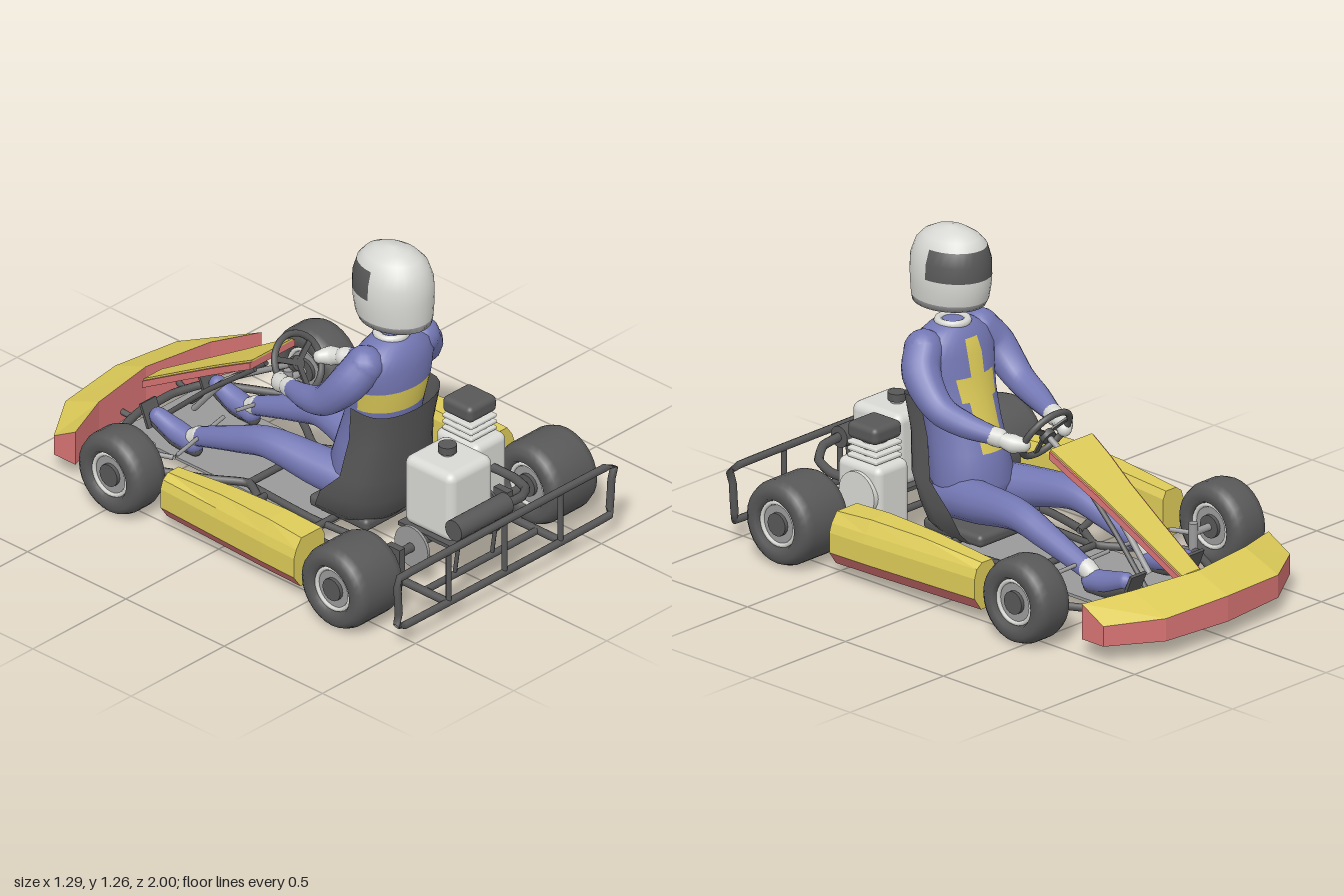
import * as THREE from 'three';
import { RoundedBoxGeometry } from 'three/addons/geometries/RoundedBoxGeometry.js';

const mat = (name, color, side = THREE.FrontSide) => {
  const m = new THREE.MeshStandardMaterial({ color, side });
  m.name = name;
  return m;
};
const V = (p) => new THREE.Vector3(p[0], p[1], p[2]);

export function createModel() {
  const root = new THREE.Group();
  root.name = 'goKart';
  const dark = mat('darkGrey', 0x585858, THREE.DoubleSide);
  const grey = mat('midGrey', 0x9a9a9a);
  const white = mat('lightGrey', 0xd8d8d4);
  const yellow = mat('yellow', 0xdcca58);
  const red = mat('red', 0xd87474);
  const blue = mat('blue', 0x7478b4);

  const add = (name, geo, m, pos = [0, 0, 0], rot = [0, 0, 0], parent = root) => {
    const mesh = new THREE.Mesh(geo, m);
    mesh.name = name;
    mesh.position.set(...pos);
    mesh.rotation.set(...rot);
    parent.add(mesh);
    return mesh;
  };
  const box = (name, size, pos, m, r = 0, rot) =>
    add(name, r ? new RoundedBoxGeometry(...size, 3, r) : new THREE.BoxGeometry(...size), m, pos, rot);
  const rod = (name, r, len, pos, m, rot, sides = 20) =>
    add(name, new THREE.CylinderGeometry(r, r, len, sides), m, pos, rot);
  const acrossX = [0, 0, Math.PI / 2];

  // Bent pipe through a few points
  const pipe = (name, pts, r = 0.014, m = dark, closed = false) => {
    const curve = new THREE.CatmullRomCurve3(pts.map(V), closed, 'catmullrom', 0.25);
    return add(name, new THREE.TubeGeometry(curve, pts.length * 6, r, 8, closed), m);
  };

  // Skin over cross-sections; pick() gives the material index of each cell from its centre
  const loft = (name, rings, mats, pick = () => 0, { flat = false, closed = true, cap = 0 } = {}) => {
    const n = rings[0].length;
    const lists = mats.map(() => []);
    for (let j = 0; j < rings.length - 1; j++) {
      for (let i = 0; i < (closed ? n : n - 1); i++) {
        const k = (i + 1) % n;
        const c = V(rings[j][i]).add(V(rings[j][k])).add(V(rings[j + 1][k])).add(V(rings[j + 1][i])).multiplyScalar(0.25);
        const [a, b, d, e] = [j * n + i, j * n + k, (j + 1) * n + k, (j + 1) * n + i];
        lists[pick(c)].push(a, b, d, a, d, e);
      }
    }
    if (closed) {
      const top = (rings.length - 1) * n;
      for (let i = 1; i < n - 1; i++) lists[cap].push(0, i + 1, i, top, top + i, top + i + 1);
    }
    let g = new THREE.BufferGeometry();
    g.setAttribute('position', new THREE.Float32BufferAttribute(rings.flat(2), 3));
    g.setIndex(lists.flat());
    let start = 0;
    lists.forEach((l, i) => { g.addGroup(start, l.length, i); start += l.length; });
    if (flat) g = g.toNonIndexed();
    g.computeVertexNormals();
    return add(name, g, mats);
  };
  // Oval cross-section at height y
  const oval = ([y, w, zf, zb], n = 32) => Array.from({ length: n }, (_, i) => {
    const a = (i / n) * Math.PI * 2;
    return [w * Math.sin(a), y, (zf + zb) / 2 + ((zb - zf) / 2) * Math.cos(a)];
  });
  // Tapered limb: points are x, y, z, radius
  const limb = (name, pts, m) => {
    const curve = new THREE.CatmullRomCurve3(pts.map(V));
    const seg = 20, sides = 14;
    const g = new THREE.TubeGeometry(curve, seg, 1, sides);
    const pos = g.attributes.position, v = new THREE.Vector3();
    for (let j = 0; j <= seg; j++) {
      const c = curve.getPointAt(j / seg);
      const t = curve.getUtoTmapping(j / seg) * (pts.length - 1);
      const k = Math.min(Math.floor(t), pts.length - 2);
      const r = THREE.MathUtils.lerp(pts[k][3], pts[k + 1][3], t - k);
      for (let i = 0; i <= sides; i++) {
        const q = j * (sides + 1) + i;
        v.fromBufferAttribute(pos, q).sub(c).multiplyScalar(r).add(c);
        pos.setXYZ(q, v.x, v.y, v.z);
      }
    }
    add(name, g, m);
    for (const p of [pts[0], pts[pts.length - 1]])
      add(name + 'End', new THREE.SphereGeometry(p[3], 14, 10), m, p.slice(0, 3));
  };

  // Wheels: rounded tyre, recessed rim, hub
  const wheel = (name, x, z, w) => {
    const g = new THREE.Group();
    g.name = name;
    g.position.set(x, 0.17, z);
    g.rotation.z = -Math.PI / 2;
    root.add(g);
    const h = w / 2;
    const prof = [[0.09, -h + 0.02], [0.1, -h], [0.135, -h], [0.155, -h + 0.015], [0.166, -h + 0.045],
      [0.166, h - 0.045], [0.155, h - 0.015], [0.135, h], [0.1, h], [0.09, h - 0.02], [0.09, -h + 0.02]];
    add('tyre', new THREE.LatheGeometry(prof.map((p) => new THREE.Vector2(...p)), 28), dark, [0, 0, 0], [0, 0, 0], g);
    add('rim', new THREE.CylinderGeometry(0.091, 0.091, w - 0.05, 28), grey, [0, 0, 0], [0, 0, 0], g);
    add('hub', new THREE.CylinderGeometry(0.045, 0.045, w - 0.02, 16), dark, [0, 0, 0], [0, 0, 0], g);
    for (const e of [-1, 1])
      add('rimLip', new THREE.TorusGeometry(0.083, 0.009, 6, 28), white, [0, e * (h - 0.022), 0], [Math.PI / 2, 0, 0], g);
  };

  for (const s of [-1, 1]) {
    const side = s > 0 ? 'left' : 'right';
    const M = (pts) => pts.map(([x, ...r]) => [x * s, ...r]);
    wheel(side + 'FrontWheel', s * 0.525, -0.47, 0.165);
    wheel(side + 'RearWheel', s * 0.523, 0.7, 0.245);

    // Chassis rails, side loop and front steering parts
    pipe(side + 'Rail', M([[0.305, 0.09, 0.98], [0.305, 0.09, 0.5], [0.3, 0.09, 0.2], [0.25, 0.09, -0.02], [0.18, 0.09, -0.15],
      [0.26, 0.09, -0.28], [0.365, 0.1, -0.46], [0.36, 0.1, -0.5], [0.25, 0.1, -0.71], [0.2, 0.1, -0.76], [0.09, 0.1, -0.79], [0, 0.1, -0.79]]), 0.016);
    pipe(side + 'SideLoop', M([[0.22, 0.1, -0.03], [0.37, 0.13, 0], [0.41, 0.14, 0.05], [0.4, 0.13, 0.36], [0.38, 0.12, 0.4], [0.3, 0.09, 0.41]]));
    pipe(side + 'InnerRail', M([[0.18, 0.085, -0.15], [0.2, 0.085, 0.2], [0.17, 0.085, 0.6]]));
    rod(side + 'Kingpin', 0.018, 0.12, [s * 0.37, 0.15, -0.47], grey);
    rod(side + 'Spindle', 0.014, 0.12, [s * 0.42, 0.17, -0.47], grey, acrossX);
    pipe(side + 'SteeringArm', M([[0.37, 0.17, -0.47], [0.335, 0.17, -0.385]]), 0.01, grey);
    pipe(side + 'TieRod', M([[0.335, 0.17, -0.385], [0.03, 0.2, -0.42]]), 0.008, grey);
    pipe(side + 'ColumnBrace', M([[0.09, 0.1, -0.7], [0.06, 0.3, -0.48], [0.03, 0.47, -0.26]]), 0.01);
    pipe(side + 'BumperStay', M([[0.14, 0.1, -0.78], [0.16, 0.12, -0.86]]), 0.012);
    box(side + 'Pedal', [0.08, 0.1, 0.012], [s * 0.155, 0.17, -0.67], dark, 0, [-0.4, 0, 0]);
    box(side + 'AxleBearing', [0.03, 0.12, 0.07], [s * 0.29, 0.15, 0.7], dark);

    // Side pod
    const pod = [[-0.24, 0.45, 0.56, 0.245], [0.05, 0.443, 0.575, 0.27], [0.3, 0.435, 0.588, 0.275], [0.47, 0.43, 0.593, 0.265]];
    const rings = pod.map(([z, xi, xo, h]) => {
      const r = M([[xo - 0.035, 0.06, z], [xo, 0.11, z], [xo, 0.19, z], [xo - 0.012, 0.225, z], [xo - 0.04, h, z],
        [xi + 0.015, h, z], [xi, h - 0.03, z], [xi, 0.11, z], [xi, 0.06, z]]);
      return s > 0 ? r : r.reverse();
    });
    loft(side + 'SidePod', rings, [yellow, red], (c) => (c.y < 0.11 ? 1 : 0), { flat: true });

    // Driver's limbs
    limb(side + 'Arm', M([[0.15, 0.81, 0.41, 0.075], [0.2, 0.74, 0.375, 0.075], [0.215, 0.63, 0.27, 0.058], [0.195, 0.59, 0.16, 0.05], [0.155, 0.565, 0.04, 0.034]]), blue);
    limb(side + 'Cuff', M([[0.157, 0.565, 0.045, 0.037], [0.15, 0.562, 0.025, 0.037]]), white);
    limb(side + 'Hand', M([[0.15, 0.56, 0.02, 0.028], [0.135, 0.55, -0.03, 0.037], [0.11, 0.545, -0.06, 0.028]]), white);
    limb(side + 'Leg', M([[0.09, 0.24, 0.32, 0.085], [0.12, 0.26, 0.15, 0.08], [0.15, 0.28, -0.08, 0.06], [0.155, 0.24, -0.22, 0.052], [0.155, 0.17, -0.42, 0.038]]), blue);
    limb(side + 'Sock', M([[0.155, 0.17, -0.425, 0.038], [0.155, 0.155, -0.45, 0.036]]), white);
    limb(side + 'Shoe', M([[0.155, 0.13, -0.455, 0.042], [0.157, 0.145, -0.54, 0.045], [0.16, 0.175, -0.63, 0.034]]), blue);
    limb(side + 'Sole', M([[0.155, 0.106, -0.445, 0.028], [0.158, 0.116, -0.54, 0.033], [0.16, 0.148, -0.63, 0.028]]), dark);
  }

  // Floor, axle and cross members
  box('floorTray', [0.42, 0.012, 1.03], [0, 0.07, -0.265], grey);
  rod('rearAxle', 0.018, 0.86, [0, 0.17, 0.7], dark, acrossX);
  rod('brakeDisc', 0.085, 0.012, [-0.2, 0.17, 0.7], grey, acrossX, 28);
  rod('sprocket', 0.1, 0.012, [0.18, 0.17, 0.7], dark, acrossX, 28);
  for (const z of [-0.15, 0.25, 0.6, 0.86]) rod('crossTube', 0.014, z < 0 ? 0.36 : 0.6, [0, 0.09, z], dark, acrossX, 8);

  // Rear bumper
  pipe('rearBumper', [[-0.54, 0.09, 0.98], [0.54, 0.09, 0.98], [0.565, 0.12, 0.98], [0.575, 0.27, 0.98], [0.54, 0.305, 0.98],
    [-0.54, 0.305, 0.98], [-0.575, 0.27, 0.98], [-0.565, 0.12, 0.98]], 0.015, dark, true);
  for (const x of [-0.3, 0, 0.3]) rod('bumperPost', 0.011, 0.21, [x, 0.195, 0.98], dark);

  // Front bumper
  const nose = [[-0.5, -0.84, 0.15, -0.73, 0.21], [-0.3, -0.97, 0.16, -0.8, 0.225], [0, -1, 0.172, -0.845, 0.23],
    [0.3, -0.97, 0.16, -0.8, 0.225], [0.5, -0.84, 0.15, -0.73, 0.21]];
  loft('frontBumper', nose.map(([x, zf, yf, zb, yb]) => [[x, 0.07, zf], [x, yf, zf], [x, yb, zb], [x, 0.07, zb]]),
    [yellow, red], (c) => (c.y > 0.17 ? 0 : 1), { flat: true, cap: 1 });

  // Sloping steering fairing, yellow face on a red shell
  const fairing = [[-0.81, 0.212, 0.052], [-0.6, 0.335, 0.068], [-0.42, 0.44, 0.085], [-0.3, 0.51, 0.105], [-0.2, 0.565, 0.115]];
  const strip = (lo, hi, grow) => fairing.map(([z, y, w]) =>
    [[w + grow, y + lo, z], [w + grow, y + hi, z], [-w - grow, y + hi, z], [-w - grow, y + lo, z]]);
  loft('fairingShell', strip(-0.035, -0.006, 0.005), [red], undefined, { flat: true });
  loft('fairingFace', strip(-0.006, 0.002, -0.004), [yellow], undefined, { flat: true });

  // Steering wheel and column
  const steering = new THREE.Group();
  steering.name = 'steeringWheel';
  steering.position.set(0, 0.56, -0.07);
  steering.rotation.x = -0.53;
  root.add(steering);
  add('rim', new THREE.TorusGeometry(0.112, 0.013, 10, 32), dark, [0, 0, 0], [0, 0, 0], steering);
  add('hub', new THREE.CylinderGeometry(0.03, 0.03, 0.025, 16), dark, [0, 0, -0.01], [Math.PI / 2, 0, 0], steering);
  for (const a of [0, 2.1, 4.2])
    add('spoke', new THREE.BoxGeometry(0.022, 0.11, 0.008), dark, [Math.sin(a) * 0.055, -Math.cos(a) * 0.055, 0], [0, 0, a], steering);
  pipe('steeringColumn', [[0, 0.555, -0.08], [0, 0.35, -0.42], [0, 0.15, -0.6]], 0.012, grey);

  // Seat shell wrapping the driver
  const seat = [[0.09, 0.14, 0.18, 0.4], [0.14, 0.185, 0.19, 0.45], [0.22, 0.2, 0.23, 0.48], [0.32, 0.2, 0.33, 0.5], [0.48, 0.182, 0.36, 0.515], [0.61, 0.198, 0.385, 0.535]];
  loft('seatShell', seat.map(([y, w, f, b], j) => Array.from({ length: 17 }, (_, i) => {
    const a = (i / 16 - 0.5) * Math.PI, c = Math.cos(a);
    return [w * Math.sin(a), y + (j === 5 ? 0.025 * (1 - c) : 0), f + (b - f) * Math.sqrt(c > 0 ? c : 0)];
  })), [dark], undefined, { closed: false });
  box('seatBase', [0.3, 0.05, 0.3], [0, 0.115, 0.27], dark, 0.02);

  // Driver's suit with yellow chest and back panels
  const torso = [[0.22, 0.14, 0.18, 0.42], [0.3, 0.165, 0.15, 0.46], [0.42, 0.15, 0.185, 0.475], [0.52, 0.15, 0.22, 0.495],
    [0.61, 0.158, 0.25, 0.51], [0.7, 0.175, 0.275, 0.525], [0.78, 0.19, 0.29, 0.525], [0.84, 0.16, 0.31, 0.515], [0.875, 0.1, 0.335, 0.485], [0.89, 0.05, 0.36, 0.45]];
  loft('torso', torso.map((t) => oval(t)), [blue, yellow], (c) => {
    const band = c.y > 0.61 && c.y < 0.7;
    const chest = c.z < 0.36 && c.y > 0.42 && c.y < 0.84 && Math.abs(c.x) < (band ? 0.1 : 0.05);
    return chest || (band && c.z > 0.39) ? 1 : 0;
  });
  add('collar', new THREE.TorusGeometry(0.055, 0.016, 8, 24), white, [0, 0.885, 0.405], [Math.PI / 2, 0, 0]);

  // Helmet with visor and bottom trim
  const helmet = [[0.96, 0.124, 0.275, 0.572], [0.985, 0.131, 0.262, 0.576], [1.04, 0.137, 0.252, 0.579], [1.08, 0.139, 0.249, 0.58], [1.14, 0.136, 0.25, 0.578],
    [1.195, 0.119, 0.266, 0.558], [1.225, 0.092, 0.292, 0.53], [1.248, 0.056, 0.335, 0.485], [1.26, 0.012, 0.395, 0.425]];
  loft('helmet', helmet.map((h) => oval(h)), [white, dark, grey], (c) =>
    c.y < 0.985 ? 2 : c.y > 1.08 && c.y < 1.195 && c.z < 0.41 ? 1 : 0);

  // Fuel tank behind the seat
  box('fuelTank', [0.235, 0.29, 0.25], [-0.005, 0.335, 0.7], white, 0.035);
  rod('tankCap', 0.035, 0.03, [0, 0.505, 0.69], dark);
  rod('tankNeck', 0.026, 0.02, [0, 0.485, 0.69], grey);
  box('tankTray', [0.26, 0.015, 0.28], [0, 0.185, 0.7], dark);

  // Engine with cooling fins and air box
  box('engineBlock', [0.17, 0.28, 0.22], [0.295, 0.25, 0.53], white, 0.03);
  box('engineMount', [0.2, 0.03, 0.26], [0.28, 0.105, 0.53], dark);
  rod('clutchCover', 0.09, 0.04, [0.375, 0.27, 0.52], white, acrossX, 28);
  for (let i = 0; i < 3; i++) box('coolingFin', [0.14, 0.016, 0.15], [0.293, 0.4 + i * 0.026, 0.525], white, 0.006);
  rod('cylinder', 0.05, 0.09, [0.293, 0.42, 0.525], grey);
  box('airBox', [0.15, 0.068, 0.15], [0.293, 0.502, 0.525], dark, 0.022);

  // Exhaust
  rod('muffler', 0.042, 0.28, [-0.045, 0.31, 0.895], dark, acrossX, 24);
  pipe('exhaustPipe', [[0.08, 0.31, 0.9], [0.18, 0.3, 0.895], [0.26, 0.28, 0.84], [0.3, 0.27, 0.74], [0.3, 0.27, 0.62]], 0.018);
  for (const x of [-0.14, 0.06]) pipe('mufflerBracket', [[x, 0.3, 0.89], [x, 0.1, 0.86]], 0.008);

  return root;
}
